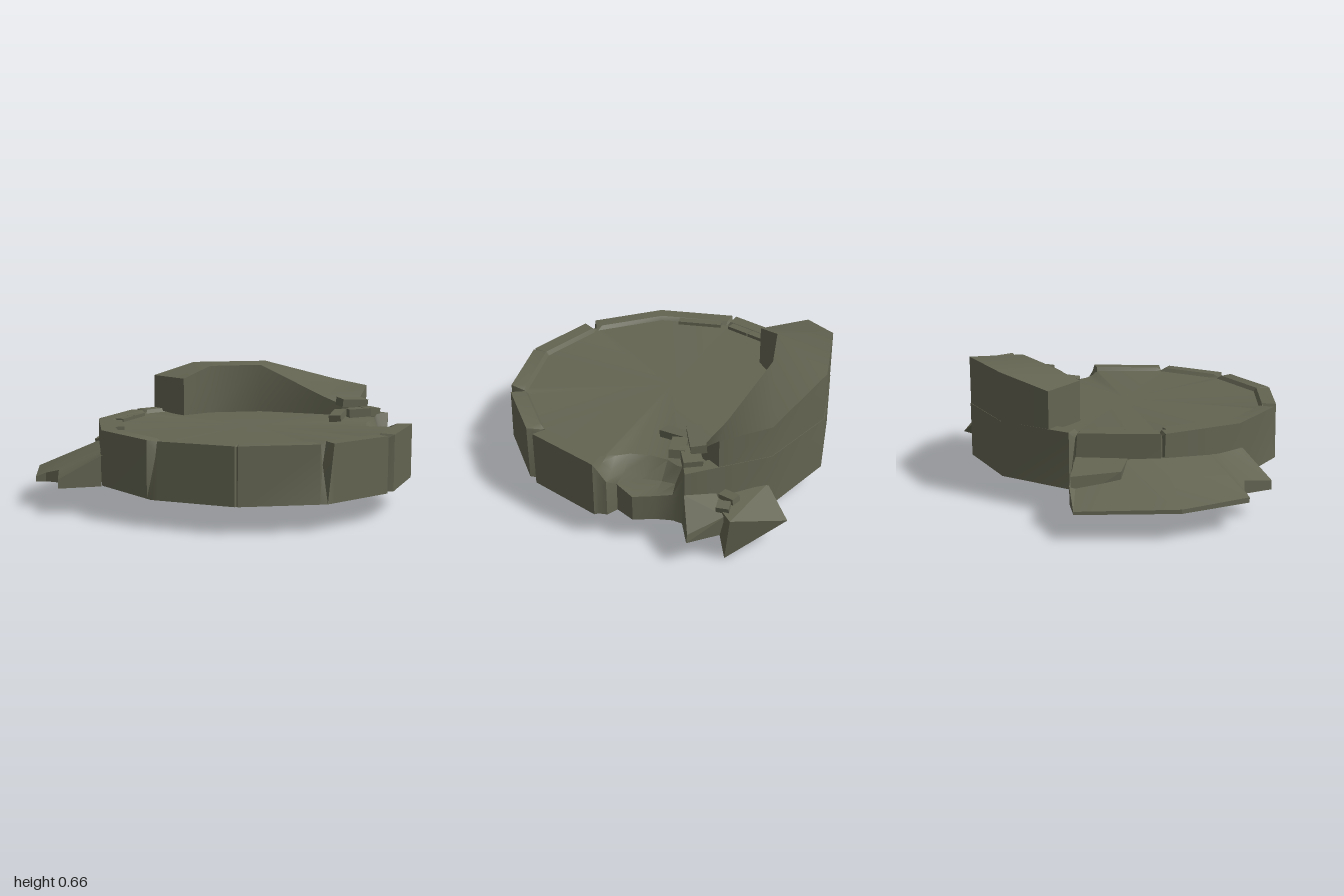
import * as THREE from 'three';
import { toCreasedNormals } from 'three/addons/utils/BufferGeometryUtils.js';
import { ConvexGeometry } from 'three/addons/geometries/ConvexGeometry.js';

const CX = 0.155, R = 0.825, BASE = 0.135, TOP = 0.415, FLOOR = 0.395;
const stone = new THREE.MeshStandardMaterial({ color: 0x636451, side: THREE.DoubleSide });
stone.name = 'weathered stone';

// Skin between neighbouring cross-sections (each a list of [x, y, z])
function loft(columns, closed, crease = 0.6) {
  const pos = [];
  const n = columns.length;
  for (let i = 0; i < (closed ? n : n - 1); i++) {
    const a = columns[i], b = columns[(i + 1) % n];
    for (let j = 0; j < a.length - 1; j++) {
      pos.push(...a[j], ...a[j + 1], ...b[j]);
      pos.push(...b[j], ...a[j + 1], ...b[j + 1]);
    }
  }
  const g = new THREE.BufferGeometry();
  g.setAttribute('position', new THREE.Float32BufferAttribute(pos, 3));
  return toCreasedNormals(g, crease);
}

// Point at an angle on a twelve-sided outline of the given corner radius
function onOutline(deg, r, y) {
  const off = ((deg % 30) + 30) % 30 - 15;
  const t = THREE.MathUtils.degToRad(deg);
  const d = r * Math.cos(Math.PI / 12) / Math.cos(THREE.MathUtils.degToRad(off));
  return [CX + d * Math.cos(t), y, d * Math.sin(t)];
}

// Section of the drum: outer wall, rim, lip, floor
function drumColumn(deg, rBottom = R, rTop = R, yTop = TOP, yInner = TOP) {
  return [
    onOutline(deg, rBottom, BASE), onOutline(deg, rTop, yTop),
    onOutline(deg, 0.75, yInner), onOutline(deg, 0.735, FLOOR), [CX, FLOOR, 0],
  ];
}

function drumGeometry() {
  // chips and cracks at corners: angle -> [half width, rBottom, rTop, yTop, yInner]
  const chips = {
    30: [2.2, 0.79, 0.765, 0.38, 0.4],
    60: [2.5, R, 0.77, 0.31, 0.4],
    90: [0.5, 0.815, 0.81, 0.41, TOP],
    120: [2.3, R, 0.785, 0.35, 0.4],
    180: [0.8, R, 0.8, 0.4, 0.4],
    210: [1.5, R, 0.79, 0.38, 0.4],
  };
  const cols = [];
  for (let a = 0; a <= 330; a += 30) {
    const c = chips[a];
    if (!c) { cols.push(drumColumn(a)); continue; }
    cols.push(drumColumn(a - c[0]), drumColumn(a, ...c.slice(1)), drumColumn(a + c[0]));
  }
  // broken side: outer x, z, ledge height, then inner x, z, height
  const broken = [
    [0.865, -0.35, 0.28, 0.79, -0.34, 0.39], [0.89, -0.27, 0.265, 0.75, -0.27, 0.38],
    [0.94, -0.18, 0.265, 0.745, -0.18, 0.375], [0.9, -0.08, 0.28, 0.78, -0.09, 0.38],
    [0.955, -0.055, 0.32, 0.83, -0.04, 0.385], [0.965, -0.015, 0.38, 0.86, -0.01, 0.395],
  ];
  for (const [x, z, y, ix, iz, iy] of broken) {
    const mid = [x * 0.45 + ix * 0.55, y * 0.7 + iy * 0.3, z * 0.45 + iz * 0.55];
    cols.push([[x, BASE, z], [x, y, z], mid, [ix, iy, iz], [CX, FLOOR, 0]]);
  }
  return loft(cols, true);
}

function wallGeometry() {
  // outer x, z, height, then inner x, z, height
  const rows = [
    [-0.46, -0.51, 0.6, -0.26, -0.32, 0.6],
    [-0.26, -0.712, 0.66, -0.13, -0.46, 0.66],
    [0.155, -0.822, 0.662, 0.15, -0.545, 0.662],
    [0.567, -0.712, 0.572, 0.5, -0.46, 0.5],
    [0.75, -0.528, 0.555, 0.68, -0.4, 0.43],
  ];
  const cols = rows.map(([x, z, y, ix, iz, iy]) =>
    [[x, 0.405, z], [x, y, z], [ix, iy, iz], [ix, 0.39, iz]]);
  // collapsed sections close both ends
  const cap = (c) => [c[0], c[0], c[3], c[3]];
  return loft([cap(cols[0]), ...cols, cap(cols[4])], false);
}

function slopeGeometry() {
  // outer x, z, height, then inner x, z, height
  const rows = [
    [-0.57, -0.41, 0.28, -0.56, -0.4, 0.28],
    [-0.75, -0.465, 0.22, -0.57, -0.39, 0.28],
    [-0.905, -0.475, 0.15, -0.58, -0.36, 0.28],
    [-1, 0, 0.155, -0.665, 0, 0.3],
    [-0.92, 0.345, 0.16, -0.6, 0.25, 0.28],
    [-0.87, 0.335, 0.18, -0.6, 0.28, 0.28],
    [-0.795, 0.36, 0.2, -0.59, 0.31, 0.28],
    [-0.76, 0.51, 0.18, -0.57, 0.4, 0.29],
    [-0.56, 0.43, 0.29, -0.55, 0.42, 0.29],
  ];
  return loft(rows.map(([x, z, y, ix, iz, iy]) =>
    [[x, BASE, z], [x, y, z], [ix, iy, iz]]), false, 0.35);
}

const rock = (pts) => new ConvexGeometry(pts.map((p) => new THREE.Vector3(...p)));

export function createModel() {
  const model = new THREE.Group();
  model.name = 'ruinedRoundBase';
  const add = (name, geometry) => {
    const m = new THREE.Mesh(geometry, stone);
    m.name = name;
    model.add(m);
    return m;
  };

  add('drum', drumGeometry());
  add('backWall', wallGeometry());
  add('rubbleSlope', slopeGeometry());

  // Blocks lying against the drum
  add('slopeBlock', rock([
    [-0.76, BASE, -0.46], [-0.755, 0.265, -0.46], [-0.745, 0.27, -0.22], [-0.6, 0.3, -0.15],
    [-0.56, 0.3, -0.4], [-0.56, BASE, -0.4], [-0.74, 0.2, -0.22], [-0.62, 0.15, -0.17],
  ]));
  add('hangingRock', rock([
    [0.64, 0.135, -0.83], [0.9, 0.25, -0.65], [0.86, 0, -0.61],
    [0.57, 0.26, -0.7], [0.8, 0.27, -0.52],
  ]));
  add('sideRock', rock([
    [0.995, 0.14, -0.48], [0.985, 0.18, -0.48], [0.87, 0.3, -0.41], [0.78, 0.29, -0.53],
    [0.86, 0.24, -0.61], [0.87, BASE, -0.4], [0.87, BASE, -0.59], [0.74, 0.2, -0.5],
  ]));

  // Loose bricks: position, size, rotation
  const bricks = [
    [[0.595, 0.42, -0.24], [0.065, 0.035, 0.15], [0.12, -0.2, 0.1]],
    [[0.705, 0.43, -0.305], [0.12, 0.045, 0.075], [0, 0.3, 0.05]],
    [[0.67, 0.475, -0.38], [0.16, 0.045, 0.075], [0.1, 0.55, -0.12]],
    [[0.75, 0.425, -0.39], [0.12, 0.05, 0.09], [0, 0.6, -0.1]],
    [[0.77, 0.28, -0.59], [0.05, 0.03, 0.085], [0.1, -0.3, 0]],
    [[0.835, 0.27, -0.59], [0.05, 0.03, 0.06], [0, 0.2, -0.2]],
  ];
  for (const [p, s, r] of bricks) {
    const b = add('looseBrick', new THREE.BoxGeometry(...s));
    b.position.set(...p);
    b.rotation.set(...r);
  }

  // Raised rim stones on the left
  for (const deg of [187, 198, 172, 163]) {
    const [x, , z] = onOutline(deg, 0.725, 0);
    const s = add('rimStone', new THREE.BoxGeometry(0.05, 0.025, 0.13));
    s.position.set(x, 0.4, z);
    s.rotation.y = -THREE.MathUtils.degToRad(deg < 180 ? 165 : 195);
  }
  return model;
}
